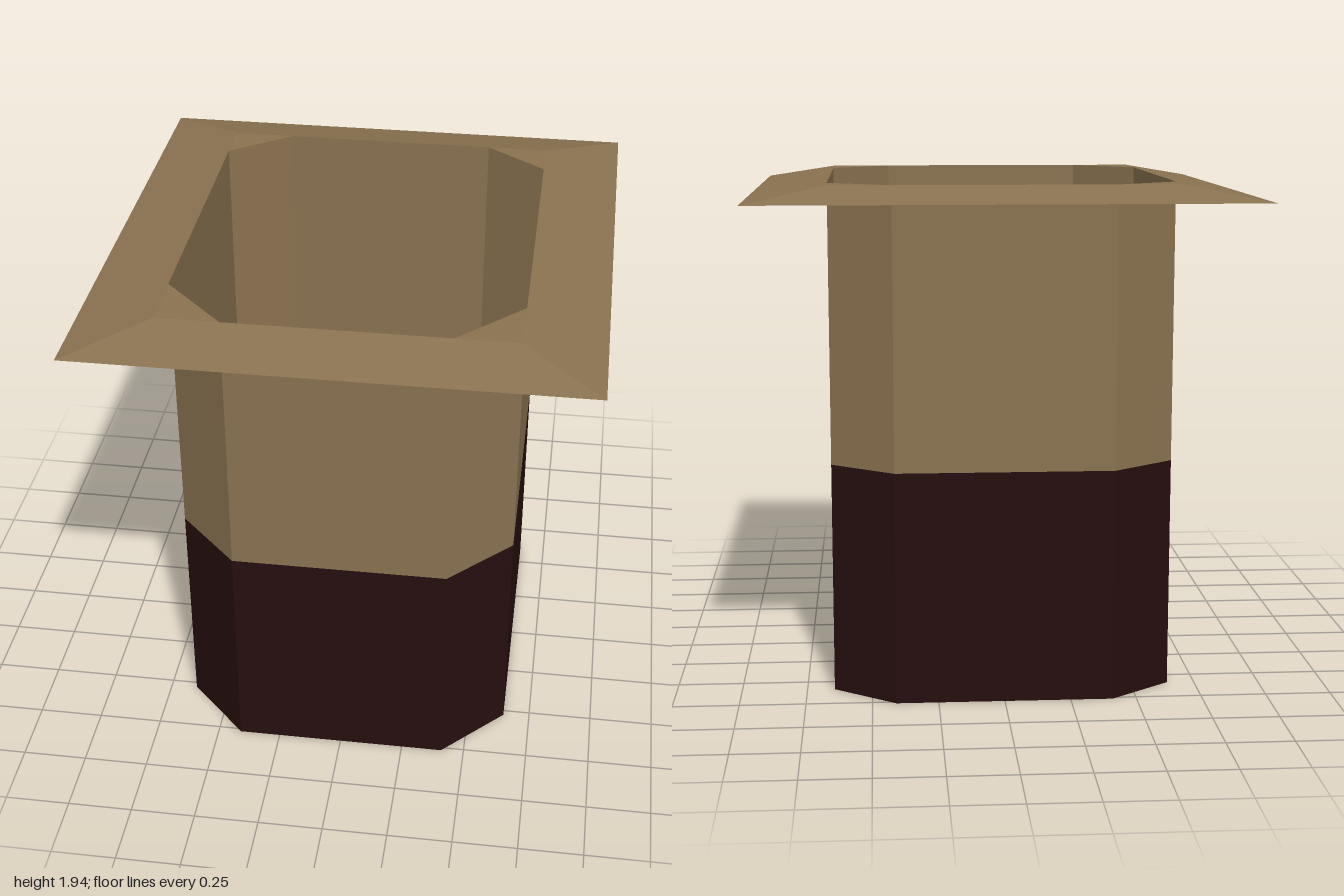
import * as THREE from 'three';

const earth = new THREE.MeshStandardMaterial({ color: 0x8a7250, side: THREE.DoubleSide });
earth.name = 'earth brown';
const dark = new THREE.MeshStandardMaterial({ color: 0x260e0e, side: THREE.DoubleSide });
dark.name = 'dark maroon';

const TOP = 1.94, RIM = 1.885, SPLIT = 0.885;

// Outlines as [x, z], counter-clockwise seen from above
const shaft = [
  [0.645, 0.525], [0.645, -0.59], [0.41, -0.765], [-0.41, -0.765],
  [-0.645, -0.59], [-0.645, 0.525], [-0.41, 0.765], [0.41, 0.765],
];
const rect = (x, z) => [[x, z], [x, -z], [-x, -z], [-x, z]];

// Flat-shaded mesh from a list of triangles
function facets(name, points, material) {
  const geometry = new THREE.BufferGeometry();
  geometry.setAttribute('position', new THREE.Float32BufferAttribute(points.flat(), 3));
  geometry.computeVertexNormals();
  const mesh = new THREE.Mesh(geometry, material);
  mesh.name = name;
  return mesh;
}

// Band of quads joining a lower outline to an upper one
function band(lower, y0, upper, y1) {
  const points = [];
  lower.forEach((p, i) => {
    const j = (i + 1) % lower.length;
    const a = [p[0], y0, p[1]], b = [lower[j][0], y0, lower[j][1]];
    const c = [upper[j][0], y1, upper[j][1]], d = [upper[i][0], y1, upper[i][1]];
    points.push(a, b, c, a, c, d);
  });
  return points;
}

export function createModel() {
  const model = new THREE.Group();
  model.name = 'pit';

  // Open eight-sided shaft in two colours
  model.add(facets('upperWall', band(shaft, SPLIT, shaft, TOP), earth));
  model.add(facets('lowerWall', band(shaft, 0, shaft, SPLIT), dark));

  // Floor closing the shaft
  const floorShape = new THREE.Shape(shaft.map(([x, z]) => new THREE.Vector2(x, -z)));
  const floor = new THREE.Mesh(new THREE.ShapeGeometry(floorShape).rotateX(-Math.PI / 2), dark);
  floor.name = 'floor';
  model.add(floor);

  // Sloping rim around the mouth
  model.add(facets('rimSlope', band(rect(0.94, 1), RIM, rect(0.645, 0.765), TOP), earth));

  // Flat triangles filling the corners of the mouth
  const corners = [];
  for (let i = 1; i < 8; i += 2) {
    const a = shaft[i], b = shaft[(i + 1) % 8];
    const corner = [Math.sign(a[0]) * 0.645, Math.sign(a[1]) * 0.765];
    for (const [x, z] of [a, corner, b]) corners.push([x, TOP, z]);
  }
  model.add(facets('rimCorners', corners, earth));

  return model;
}
